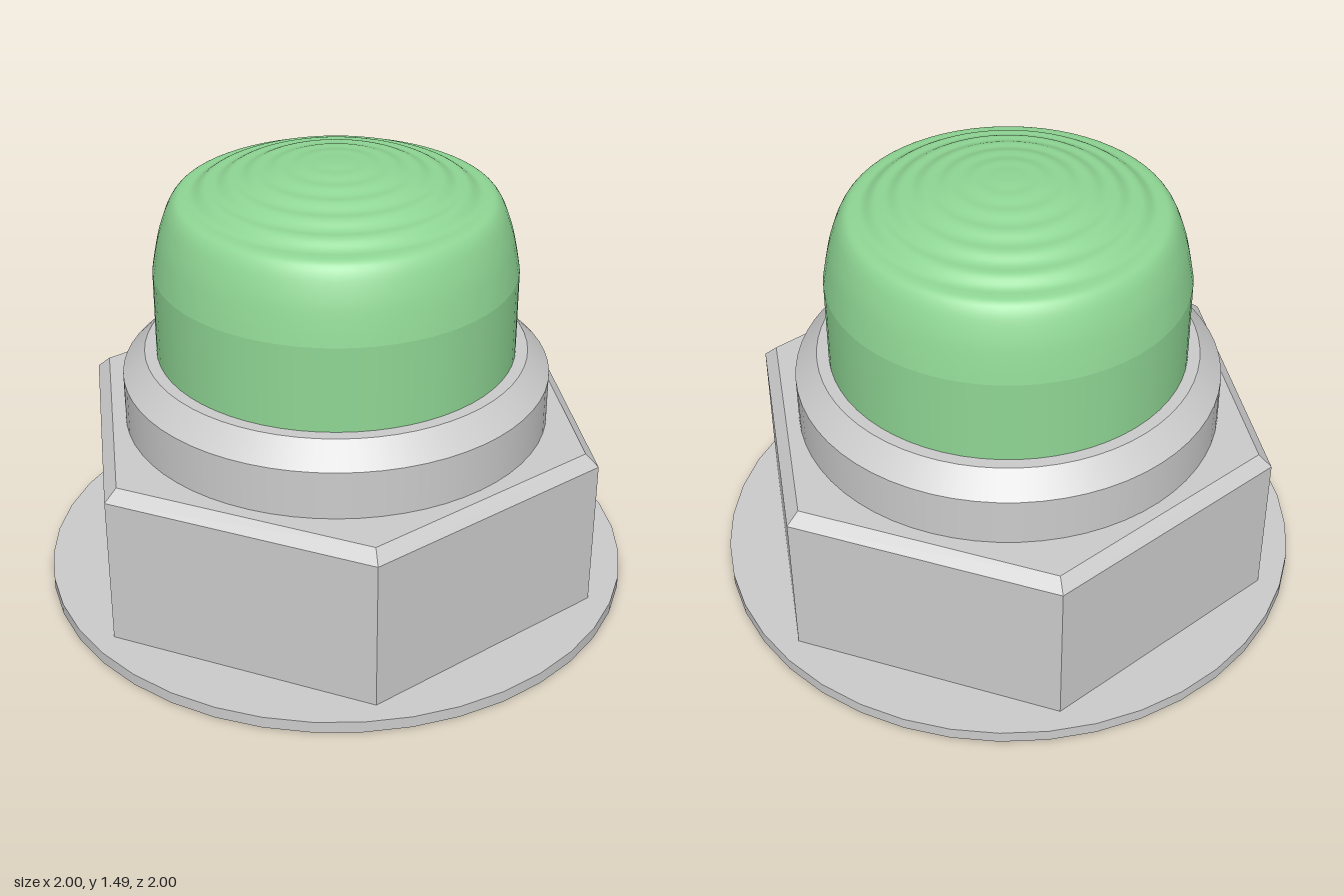
import * as THREE from 'three';

export function createModel() {
  const group = new THREE.Group();
  const steel = new THREE.MeshStandardMaterial({ color: 0xcccccc });
  const hexSteel = new THREE.MeshStandardMaterial({ color: 0xcccccc, flatShading: true });
  const green = new THREE.MeshStandardMaterial({ color: 0x8fd694 });

  function add(name, geometry, material) {
    const mesh = new THREE.Mesh(geometry, material);
    mesh.name = name;
    group.add(mesh);
    return mesh;
  }

  // Upright frustum between two heights
  function ring(name, material, rBottom, rTop, y0, y1, sides, open = false) {
    const geometry = new THREE.CylinderGeometry(rTop, rBottom, y1 - y0, sides, 1, open);
    geometry.translate(0, (y0 + y1) / 2, 0);
    return add(name, geometry, material);
  }

  // Thin round base flange
  ring('flange', steel, 1, 1, 0, 0.04, 40);

  // Hexagonal nut with corners on the x axis and a bevelled top
  const corner = 0.8 / Math.cos(Math.PI / 6);
  const bevelCorner = 0.76 / Math.cos(Math.PI / 6);
  ring('hexBody', hexSteel, corner, corner, 0.04, 0.56, 6, true).rotation.y = Math.PI / 6;
  ring('hexBevel', hexSteel, corner, bevelCorner, 0.56, 0.6, 6).rotation.y = Math.PI / 6;

  // Round collar with a chamfered rim
  ring('collar', steel, 0.715, 0.715, 0.6, 0.765, 64, true);
  ring('collarChamfer', steel, 0.715, 0.64, 0.765, 0.84, 64);

  // Button: straight wall, then a rounded shoulder and a rippled crown
  ring('buttonWall', green, 0.6, 0.6, 0.84, 1.13, 64, true);

  const profile = new THREE.SplineCurve([
    [0.6, 1.13], [0.589, 1.19], [0.573, 1.26], [0.55, 1.325],
    [0.53, 1.36], [0.51, 1.376], [0.485, 1.381],
  ].map(([r, y]) => new THREE.Vector2(r, y))).getPoints(24);

  // Concentric ripples ride on a shallow dome and fade toward the centre
  const steps = 72;
  for (let i = 1; i <= steps; i++) {
    const r = 0.485 * (1 - i / steps);
    const dome = 1.487 - 0.106 * (r / 0.485) ** 2;
    const ripple = 0.005 * (r / 0.45) * Math.sin((2 * Math.PI * (r - 0.285)) / 0.08);
    profile.push(new THREE.Vector2(r, dome - ripple));
  }
  add('buttonCrown', new THREE.LatheGeometry(profile, 64), green);

  return group;
}
